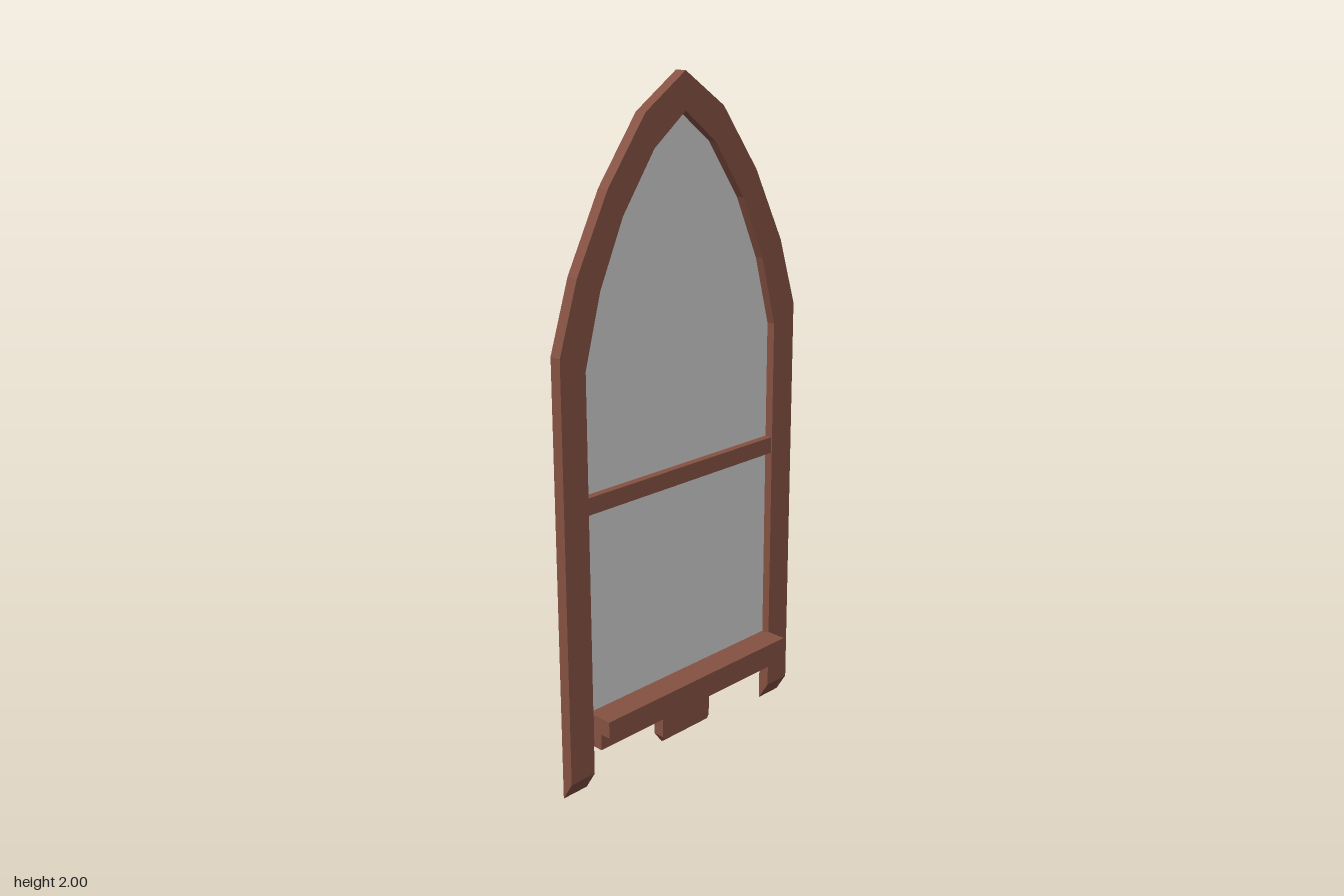
import * as THREE from 'three';

const BACK = -0.05, FRONT = -0.014;

export function createModel() {
  const group = new THREE.Group();
  group.name = 'archedWindow';
  const wood = new THREE.MeshStandardMaterial({ color: 0x855142, flatShading: true });
  wood.name = 'reddish brown wood';
  const pane = new THREE.MeshStandardMaterial({ color: 0xcfcfcf, flatShading: true });
  pane.name = 'pale grey glass';

  // Half arches as [z, y], from the spring line to the apex
  const outer = [[0.465, 1.3], [0.4, 1.5], [0.288, 1.715], [0.15, 1.9], [0, 2]];
  const inner = [[0.377, 1.25], [0.32, 1.455], [0.235, 1.64], [0.118, 1.805], [0, 1.895]];
  const blend = t => inner.map((p, i) => p.map((v, k) => v + (outer[i][k] - v) * t));

  const mirrored = half => [...half, ...half.slice(0, -1).reverse().map(([z, y]) => [-z, y])];
  const toPoints = list => list.map(([z, y]) => new THREE.Vector2(z, y));
  const archOutline = (half, bottom) =>
    mirrored([[half[0][0], bottom], ...half]);

  function add(name, geometry, material) {
    const mesh = new THREE.Mesh(geometry, material);
    mesh.name = name;
    group.add(mesh);
    return mesh;
  }

  // Extrudes a z-y outline between two x positions
  function slab(points, x0, x1, hole) {
    const shape = new THREE.Shape(toPoints(points));
    if (hole) shape.holes.push(new THREE.Path(toPoints(hole)));
    const g = new THREE.ExtrudeGeometry(shape, { depth: x1 - x0, bevelEnabled: false });
    return g.rotateY(-Math.PI / 2).translate(x1, 0, 0);
  }

  // Moves vertices by a rule that gets the depth from back (0) to front (1)
  function reshape(g, rule) {
    const p = g.attributes.position;
    for (let i = 0; i < p.count; i++) {
      const t = (p.getX(i) - BACK) / (FRONT - BACK);
      const [z, y] = rule(p.getZ(i), p.getY(i), t);
      p.setXYZ(i, p.getX(i), y, z);
    }
    g.computeVertexNormals();
    return g;
  }

  function box(name, x0, x1, y0, y1, halfZ) {
    const g = new THREE.BoxGeometry(x1 - x0, y1 - y0, halfZ * 2);
    add(name, g.translate((x0 + x1) / 2, (y0 + y1) / 2, 0), wood);
  }

  // Frame in two layers: a front lip and a wider opening behind it; feet cut at a slant
  const w = inner[0][0];
  const frameOutline = [[-w, 0.145], [w, 0.145], [w, 0], ...archOutline(outer, 0), [-w, 0]];
  const slantFeet = (z, y, t) => [z, y < 0.01 ? 0.058 * t : y];
  const step = -0.04;
  add('frameFront', reshape(slab(frameOutline, step, FRONT, archOutline(inner, 0.24)), slantFeet), wood);
  add('frameBack', reshape(slab(frameOutline, BACK, step, archOutline(blend(0.36), 0.19)), slantFeet), wood);

  // Glass set into the back of the frame
  add('glass', slab(archOutline(blend(0.12), 0.21), -0.049, -0.0405), pane);

  // Crossbar and stepped sill
  box('crossbar', -0.045, -0.018, 0.845, 0.895, 0.4);
  box('sillTop', FRONT, 0.05, 0.195, 0.245, 0.376);
  box('sillMoulding', FRONT, 0.016, 0.145, 0.195, 0.376);

  // Chamfered tab under the sill
  const tab = mirrored([[0.07, 0.022], [0.1, 0.062], [0.1, 0.145]]);
  tab.push([-0.1, 0.145]);
  tab.splice(3, tab.length - 3, [-0.1, 0.145], [-0.1, 0.062], [-0.07, 0.022]);
  add('bottomTab', reshape(slab(tab, BACK, FRONT), (z, y, t) =>
    y < 0.03 ? [z + Math.sign(z) * 0.022 * t, y + 0.028 * t] : [z, y]), wood);

  return group;
}
